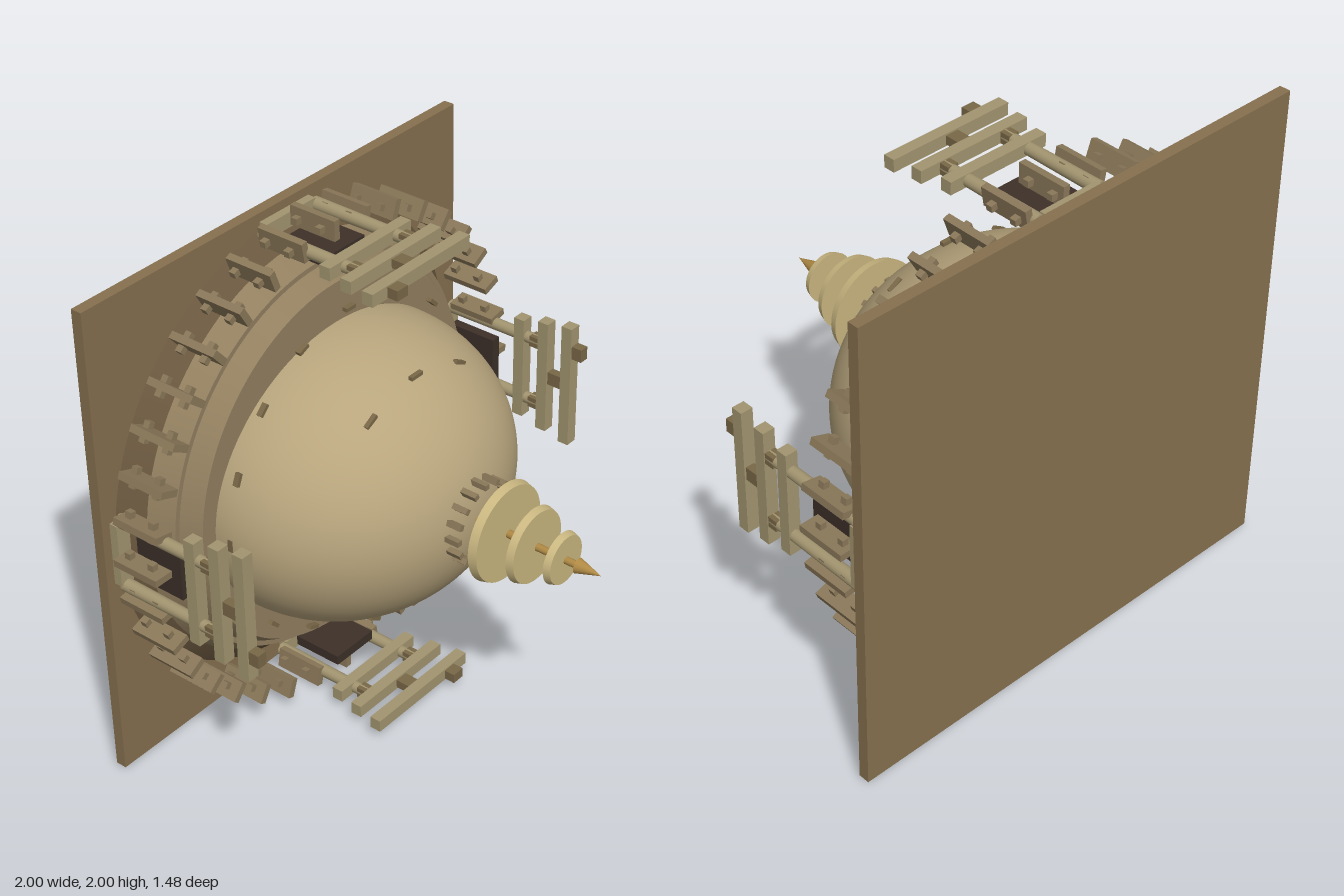
import * as THREE from 'three';

const mat = (color) => new THREE.MeshStandardMaterial({ color });
const MAT = {
  plate: mat(0x86704f), plinth: mat(0x6b583f), drum: mat(0x927f5f), dome: mat(0xb8a57d),
  fence: mat(0x8a7859), beam: mat(0xa39570), block: mat(0x7a6848), dark: mat(0x3d3028),
  gold: mat(0xb08a45), disc: mat(0xc9b680),
};

function add(parent, name, geometry, material, x = 0, y = 0, z = 0) {
  const mesh = new THREE.Mesh(geometry, material);
  mesh.name = name;
  mesh.position.set(x, y, z);
  parent.add(mesh);
  return mesh;
}

const box = (parent, name, material, w, h, d, x, y, z) =>
  add(parent, name, new THREE.BoxGeometry(w, h, d), material, x, y, z);

// Cylinder or frustum between two heights
const frustum = (parent, name, material, rLow, rHigh, low, high, sides = 64, x = 0, z = 0) =>
  add(parent, name, new THREE.CylinderGeometry(rHigh, rLow, high - low, sides), material, x, (low + high) / 2, z);

// Repeat a part around the axis; each copy is built on the -z side
function ring(parent, name, count, build) {
  const all = new THREE.Group();
  all.name = name;
  for (let i = 0; i < count; i++) {
    const pivot = new THREE.Group();
    pivot.name = name + 'Unit';
    pivot.rotation.y = (i / count) * Math.PI * 2;
    build(pivot);
    all.add(pivot);
  }
  parent.add(all);
}

function buildGate(g) {
  const r = -0.935;
  for (const s of [-1, 1]) {
    frustum(g, 'gatePillar', MAT.beam, 0.027, 0.023, -0.66, -0.21, 16, s * 0.14, r);
    box(g, 'pillarCap', MAT.block, 0.045, 0.04, 0.045, s * 0.14, -0.235, r);
  }
  box(g, 'gateSill', MAT.beam, 0.26, 0.035, 0.06, 0, -0.665, r);
  // Three crossbeams, widening upward
  [[-0.305, 0.44], [-0.19, 0.49], [-0.078, 0.53]].forEach(([y, w]) =>
    box(g, 'crossbeam', MAT.beam, w, 0.047, 0.05, 0, y, r));
  box(g, 'beamSpacer', MAT.block, 0.055, 0.065, 0.035, 0, -0.134, r);
  box(g, 'topBlock', MAT.block, 0.055, 0.045, 0.04, -0.16, -0.032, r);
  // Dark panel behind the gate
  box(g, 'gatePanel', MAT.dark, 0.21, 0.21, 0.04, 0, -0.505, -0.89);
}

export function createModel() {
  const model = new THREE.Group();
  model.name = 'domedMonument';

  // Built upright along y, then laid over so its axis points to the front
  const body = new THREE.Group();
  body.name = 'monument';
  body.rotation.x = Math.PI / 2;
  body.position.y = 1;
  model.add(body);

  box(body, 'groundPlate', MAT.plate, 1.98, 0.045, 1.98, 0, -0.7175, 0);

  // Stepped round base
  frustum(body, 'plinth', MAT.plinth, 0.935, 0.85, -0.7, -0.62, 96);
  frustum(body, 'lowerTerrace', MAT.drum, 0.85, 0.8, -0.62, -0.53, 96);
  frustum(body, 'upperTerrace', MAT.drum, 0.78, 0.74, -0.53, -0.455, 96);

  // Oval dome
  const domeGeo = new THREE.SphereGeometry(1, 96, 48, 0, Math.PI * 2, 0, Math.PI * 0.55);
  domeGeo.scale(0.675, 0.64, 0.58);
  add(body, 'dome', domeGeo, MAT.dome, 0, -0.44, 0);

  // Small pegs around the dome
  ring(body, 'lowerPegs', 16, (p) => box(p, 'peg', MAT.block, 0.05, 0.022, 0.015, 0, -0.388, -0.667));
  ring(body, 'upperPegs', 12, (p) => box(p, 'peg', MAT.block, 0.06, 0.018, 0.015, 0, -0.085, -0.5));

  // Outer fence: radial posts with short rails
  ring(body, 'fence', 36, (p) => {
    box(p, 'fencePost', MAT.fence, 0.028, 0.205, 0.08, 0, -0.538, -0.96);
    for (const y of [-0.492, -0.602]) box(p, 'fenceRail', MAT.fence, 0.08, 0.026, 0.026, 0, y, -0.955);
  });

  ring(body, 'gates', 4, buildGate);

  // Railing and spire at the top of the dome
  ring(body, 'topRailing', 16, (p) => box(p, 'railingPost', MAT.fence, 0.022, 0.09, 0.022, 0, 0.195, -0.158));
  frustum(body, 'spireShaft', MAT.gold, 0.017, 0.014, 0.17, 0.65, 16);
  [[0.305, 0.337, 0.197], [0.436, 0.464, 0.15], [0.563, 0.589, 0.103]].forEach(([a, b, r]) =>
    frustum(body, 'spireDisc', MAT.disc, r, r - 0.008, a, b, 48));
  add(body, 'spireTip', new THREE.ConeGeometry(0.03, 0.1, 16), MAT.gold, 0, 0.69, 0);

  return model;
}
